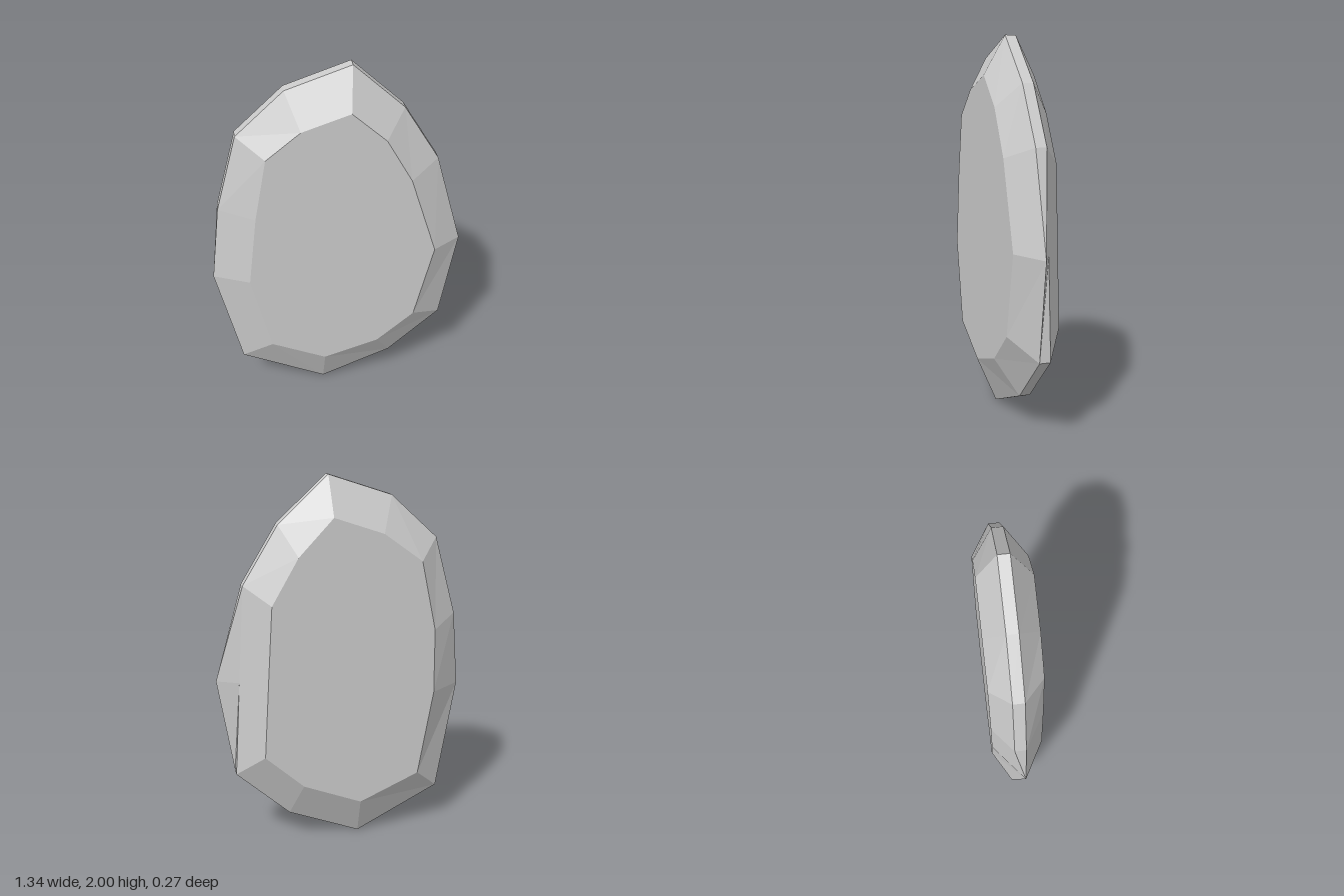
import * as THREE from 'three';

const ring = (points, z) => points.map(([x, y]) => new THREE.Vector3(x, y, z));

// Outlines run clockwise from the peak, as seen from the front
const outline = [
  [0.075, 2], [0.335, 1.76], [0.52, 1.46], [0.67, 0.945], [0.59, 0.425], [0.305, 0.16],
  [-0.085, 0], [-0.545, 0.23], [-0.67, 0.825], [-0.615, 1.25], [-0.5, 1.665], [-0.255, 1.89],
];
const frontOutline = [
  [0.055, 1.8], [0.23, 1.64], [0.365, 1.4], [0.51, 0.955], [0.415, 0.52], [0.215, 0.345],
  [-0.085, 0.25], [-0.38, 0.39], [-0.48, 0.845], [-0.43, 1.24], [-0.365, 1.58], [-0.19, 1.72],
];
const backOutline = [
  [0.07, 1.8], [0.25, 1.61], [0.39, 1.37], [0.418, 0.96], [0.445, 0.55], [0.24, 0.36],
  [-0.075, 0.23], [-0.4, 0.37], [-0.48, 0.84], [-0.475, 1.19], [-0.395, 1.56], [-0.19, 1.71],
];

// Triangles joining two rings; the back ring comes first
function strip(a, b) {
  const out = [];
  a.forEach((_, i) => {
    const j = (i + 1) % a.length;
    out.push(a[i], b[i], b[j], a[i], b[j], a[j]);
  });
  return out;
}

// Flat face closing a ring
function cap(r, front) {
  const c = r.reduce((s, p) => s.add(p), new THREE.Vector3()).divideScalar(r.length);
  return r.flatMap((p, i) => {
    const q = r[(i + 1) % r.length];
    return front ? [c, q, p] : [c, p, q];
  });
}

export function createModel() {
  const group = new THREE.Group();
  group.name = 'facetedStone';
  const material = new THREE.MeshStandardMaterial({ color: 0xcccccc, flatShading: true });

  const front = ring(frontOutline, 0.132);
  const frontRim = ring(outline, 0.024);
  const backRim = ring(outline, -0.033);
  const back = ring(backOutline, -0.135);
  // On one side the back cuts straight past the widest point; on the other the rim tapers to a point
  backRim[3].set(0.555, 0.945, -0.033);
  backRim[8].copy(frontRim[8]);

  const parts = {
    frontFace: cap(front, true),
    frontBevel: strip(frontRim, front),
    rim: strip(backRim, frontRim),
    backBevel: strip(back, backRim),
    backFace: cap(back, false),
  };
  for (const [name, points] of Object.entries(parts)) {
    // Leave out triangles that collapse where the rim tapers
    const kept = points.filter((_, i) => {
      const k = i - (i % 3);
      return new THREE.Triangle(points[k], points[k + 1], points[k + 2]).getArea() > 1e-6;
    });
    const geometry = new THREE.BufferGeometry().setFromPoints(kept);
    geometry.computeVertexNormals();
    const mesh = new THREE.Mesh(geometry, material);
    mesh.name = name;
    group.add(mesh);
  }
  return group;
}
